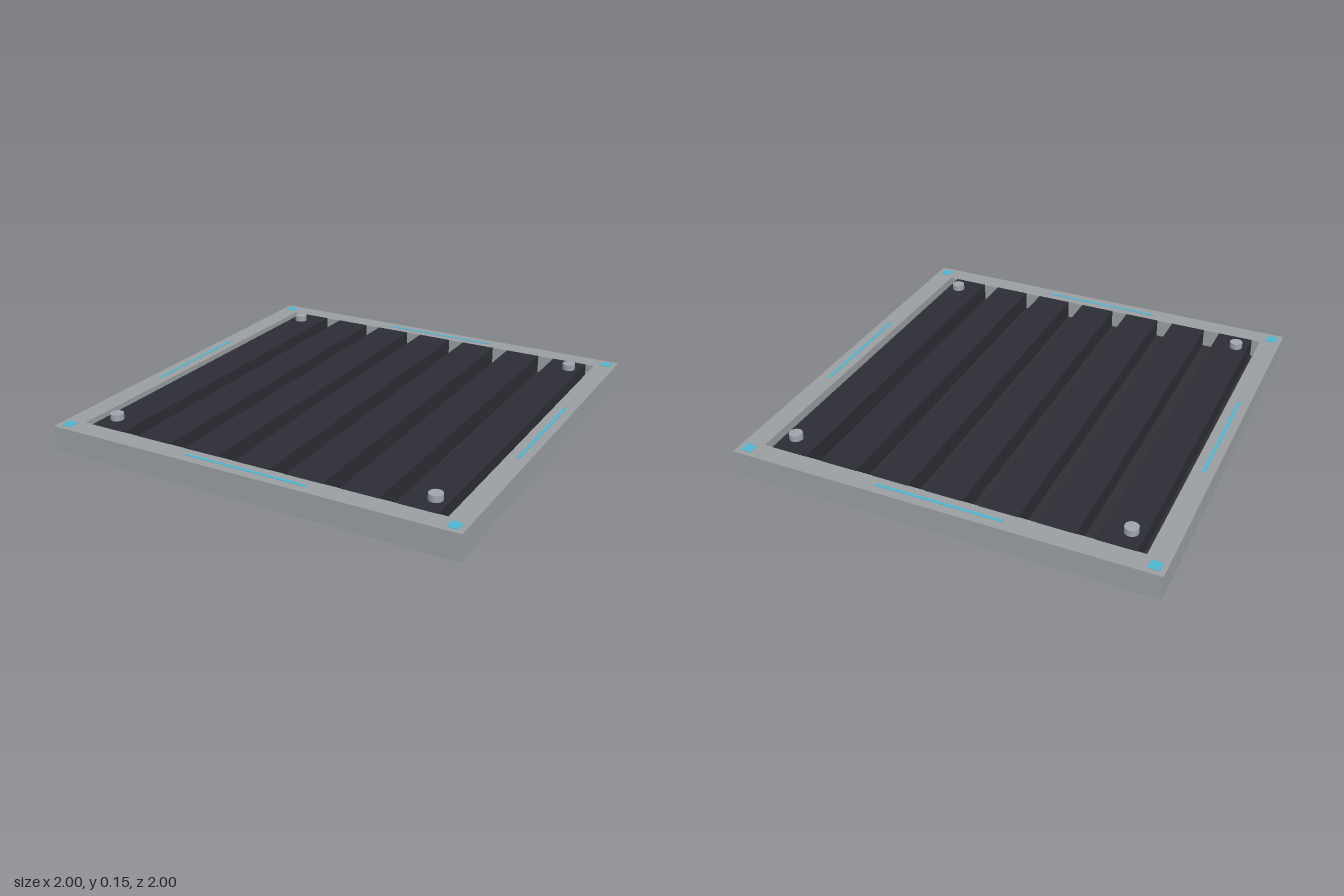
import * as THREE from 'three';

const mat = (name, color) => {
  const m = new THREE.MeshStandardMaterial({ color });
  m.name = name;
  return m;
};

export function createModel() {
  const group = new THREE.Group();
  const frameGrey = mat('frame grey', 0x9a9fa2);
  const slatDark = mat('slat dark', 0x2d2d35);
  const floorDark = mat('floor dark', 0x303034);
  const boltGrey = mat('bolt grey', 0xa0a4ab);
  const cyan = mat('cyan accent', 0x4db6d2);

  const add = (name, geometry, material, x = 0, y = 0, z = 0) => {
    const mesh = new THREE.Mesh(geometry, material);
    mesh.name = name;
    mesh.position.set(x, y, z);
    group.add(mesh);
    return mesh;
  };
  const square = (Type, r) => new Type([[-r, -r], [r, -r], [r, r], [-r, r]].map(p => new THREE.Vector2(...p)));

  // Square frame with an open centre
  const H = 0.12, INNER = 0.9;
  const outline = square(THREE.Shape, 1);
  outline.holes.push(square(THREE.Path, INNER));
  const frame = new THREE.ExtrudeGeometry(outline, { depth: H, bevelEnabled: false });
  frame.rotateX(-Math.PI / 2);
  add('frame', frame, frameGrey);

  // Floor plate closing the underside
  add('floor', new THREE.BoxGeometry(INNER * 2, 0.03, INNER * 2), floorDark, 0, 0.015, 0);

  // Seven slats running front to back
  const slat = new THREE.BoxGeometry(0.176, 0.1, 1.804);
  for (let i = -3; i <= 3; i++) add('slat', slat, slatDark, i * 0.257, 0.0705, 0);

  // Bolts and corner lights
  const bolt = new THREE.CylinderGeometry(0.032, 0.032, 0.04, 12);
  const cornerLight = new THREE.BoxGeometry(0.05, 0.004, 0.05);
  for (const sx of [-1, 1]) {
    for (const sz of [-1, 1]) {
      add('bolt', bolt, boltGrey, sx * 0.8, 0.13, sz * 0.8);
      add('cornerLight', cornerLight, cyan, sx * 0.95, H, sz * 0.95);
    }
  }

  // Light strips along the middle of each side
  const strip = new THREE.BoxGeometry(0.6, 0.004, 0.014);
  for (let i = 0; i < 4; i++) {
    const a = i * Math.PI / 2;
    add('lightStrip', strip, cyan, Math.sin(a) * 0.95, H, Math.cos(a) * 0.95).rotation.y = a;
  }

  return group;
}
